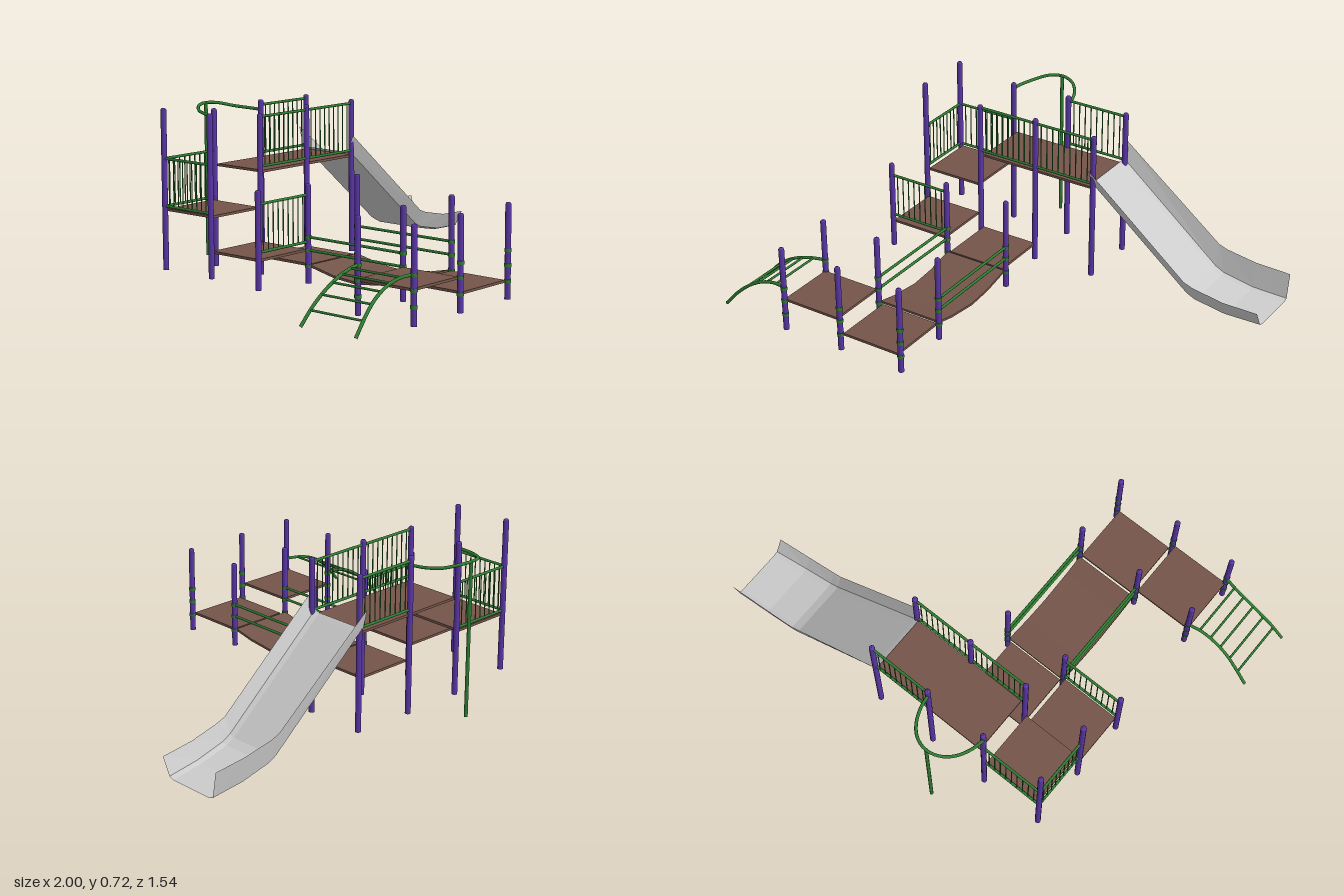
import * as THREE from 'three';

const mat = (color, opts = {}) => new THREE.MeshStandardMaterial({ color, ...opts });
const PURPLE = mat(0x5a36a6);
const GREEN = mat(0x2f7d32);
const BROWN = mat(0x74544a);
const GREY = mat(0xcccccc, { side: THREE.DoubleSide, flatShading: true });
const V = (x, y, z) => new THREE.Vector3(x, y, z);

function add(parent, name, geometry, material) {
  const mesh = new THREE.Mesh(geometry, material);
  mesh.name = name;
  parent.add(mesh);
  return mesh;
}

// Round bar between two points
function bar(parent, name, a, b, r, sides = 8) {
  const d = b.clone().sub(a);
  const mesh = add(parent, name, new THREE.CylinderGeometry(r, r, d.length(), sides), GREEN);
  mesh.position.copy(a).add(b).multiplyScalar(0.5);
  mesh.quaternion.setFromUnitVectors(V(0, 1, 0), d.normalize());
}

// Bent tube through a few points
function bent(parent, name, points, r) {
  add(parent, name, new THREE.TubeGeometry(new THREE.CatmullRomCurve3(points), 28, r, 8), GREEN);
}

// Post with a domed cap and optional clamp collars
function post(parent, x, z, bottom, top, collars = []) {
  const r = 0.0125;
  const profile = [[0, bottom], [r, bottom], [r, top - 0.008], [r * 0.7, top - 0.002], [0, top]]
    .map(([px, py]) => new THREE.Vector2(px, py));
  add(parent, 'post', new THREE.LatheGeometry(profile, 12), PURPLE).position.set(x, 0, z);
  for (const y of collars) {
    add(parent, 'postCollar', new THREE.CylinderGeometry(0.0145, 0.0145, 0.014, 12), GREEN).position.set(x, y, z);
  }
}

function deck(parent, x0, x1, z0, z1, y) {
  add(parent, 'deck', new THREE.BoxGeometry(x1 - x0, 0.011, z1 - z0), BROWN)
    .position.set((x0 + x1) / 2, y, (z0 + z1) / 2);
}

// Guard fence: two rails and evenly spaced thin bars
function fence(parent, x0, z0, x1, z1, low, high, n = 10) {
  const g = new THREE.Group();
  g.name = 'guardFence';
  parent.add(g);
  for (const y of [low, high]) bar(g, 'fenceRail', V(x0, y, z0), V(x1, y, z1), 0.006);
  for (let i = 1; i < n; i++) {
    const t = i / n, x = x0 + (x1 - x0) * t, z = z0 + (z1 - z0) * t;
    bar(g, 'fenceBar', V(x, low, z), V(x, high, z), 0.0025, 6);
  }
}

// Sagging bridge: extruded side profile
function bridge(parent) {
  const pts = [[-0.03, 0.083], [0.1, 0.055], [0.22, 0.045], [0.37, 0.062], [0.465, 0.083]];
  const shape = new THREE.Shape();
  pts.forEach(([z, y], i) => (i ? shape.lineTo(-z, y + 0.005) : shape.moveTo(-z, y + 0.005)));
  [...pts].reverse().forEach(([z, y]) => shape.lineTo(-z, y - 0.005));
  const geo = new THREE.ExtrudeGeometry(shape, { depth: 0.3, bevelEnabled: false });
  geo.rotateY(Math.PI / 2);
  geo.translate(-0.383, 0, 0);
  add(parent, 'bridgeDeck', geo, BROWN);
  for (const x of [-0.387, -0.077]) {
    for (const y of [0.15, 0.205]) bar(parent, 'bridgeRail', V(x, y, -0.035), V(x, y, 0.472), 0.006);
  }
}

// Slide: sheet through cross-sections [x, bed y, near wall y, far wall y, z shift]
function slide(parent) {
  const sections = [
    [0.18, 0.465, 0.54, 0.555, 0],
    [0.2, 0.45, 0.525, 0.54, 0],
    [0.66, 0.065, 0.14, 0.175, -0.006],
    [0.7, 0.045, 0.125, 0.16, -0.007],
    [0.84, 0.015, 0.095, 0.135, -0.014],
    [1.0, 0.005, 0.085, 0.125, -0.028],
  ];
  const pos = [], idx = [];
  for (const [x, bed, near, far, dz] of sections) {
    const flare = -dz * 0.35;
    pos.push(x, near, -0.285 + dz, x, bed + 0.008, -0.312 + dz - flare,
      x, bed, -0.335 + dz - flare, x, bed, -0.565 + dz + flare,
      x, bed + 0.008, -0.585 + dz + flare, x, far, -0.605 + dz * 0.6);
  }
  for (let i = 0; i < sections.length - 1; i++) {
    for (let j = 0; j < 5; j++) {
      const a = i * 6 + j, b = a + 6;
      idx.push(a, b, a + 1, b, b + 1, a + 1);
    }
  }
  const geo = new THREE.BufferGeometry();
  geo.setAttribute('position', new THREE.Float32BufferAttribute(pos, 3));
  geo.setIndex(idx);
  geo.computeVertexNormals();
  add(parent, 'slide', geo, GREY);
}

// Curved ladder down from the front left deck
function ladder(parent) {
  const side = [[-0.665, 0.205, 0], [-0.73, 0.2, 0.012], [-0.8, 0.18, 0.016],
    [-0.87, 0.142, 0.014], [-0.93, 0.092, 0.007], [-0.995, 0.02, 0]];
  bent(parent, 'ladderSide', side.map(([x, y, d]) => V(x, y, 0.477 + d)), 0.007);
  bent(parent, 'ladderSide', side.map(([x, y, d]) => V(x, y, 0.75 - d)), 0.007);
  for (const [x, y] of [[-0.72, 0.201], [-0.775, 0.188], [-0.83, 0.165], [-0.888, 0.128], [-0.945, 0.077]]) {
    bar(parent, 'ladderRung', V(x, y, 0.488), V(x, y, 0.739), 0.005);
  }
}

// Hoop and sliding pole behind the high deck
function firePole(parent) {
  const half = [[0.145, 0.662, -0.58], [0.135, 0.665, -0.635], [0.105, 0.672, -0.7], [0.06, 0.685, -0.745]];
  const points = [
    ...half.map(([x, y, z]) => V(-0.25 - x, y, z)),
    V(-0.25, 0.69, -0.763),
    ...half.reverse().map(([x, y, z]) => V(-0.25 + x, y, z)),
  ];
  bent(parent, 'poleHoop', points, 0.007);
  bar(parent, 'slidingPole', V(-0.25, 0.01, -0.763), V(-0.25, 0.692, -0.763), 0.008, 12);
}

export function createModel() {
  const model = new THREE.Group();
  model.name = 'playground';

  // Decks
  deck(model, -0.67, -0.4, -0.575, -0.308, 0.295);
  deck(model, -0.37, 0.19, -0.575, -0.308, 0.448);
  deck(model, -0.675, -0.4, -0.303, -0.04, 0.15);
  deck(model, -0.372, -0.1, -0.303, -0.038, 0.083);
  deck(model, -0.667, -0.392, 0.478, 0.75, 0.145);
  deck(model, -0.362, -0.085, 0.478, 0.75, 0.08);

  // Tall posts
  for (const z of [-0.575, -0.305]) {
    post(model, -0.682, z, 0.04, 0.725);
    post(model, -0.388, z, 0.01, 0.695);
    post(model, -0.1, z, 0.01, 0.705);
    post(model, 0.193, z, 0.02, 0.7);
  }

  // Low posts
  post(model, -0.682, -0.038, 0.03, 0.44);
  for (const x of [-0.387, -0.078]) {
    post(model, x, -0.036, 0.01, 0.43, [0.083, 0.15, 0.205]);
    post(model, x, 0.472, 0.01, 0.4, [0.083, 0.15, 0.205]);
  }
  for (const [x, z] of [[-0.665, 0.476], [-0.665, 0.755], [-0.377, 0.752], [-0.07, 0.752]]) {
    post(model, x, z, 0.005, 0.4, [0.08, 0.145, 0.205]);
  }

  // Fences
  fence(model, -0.682, -0.575, -0.682, -0.305, 0.312, 0.513);
  fence(model, -0.682, -0.575, -0.388, -0.575, 0.312, 0.513);
  fence(model, -0.682, -0.038, -0.387, -0.038, 0.185, 0.382);
  fence(model, -0.388, -0.305, -0.1, -0.305, 0.472, 0.682);
  fence(model, -0.1, -0.305, 0.193, -0.305, 0.472, 0.682);
  fence(model, -0.1, -0.575, 0.193, -0.575, 0.472, 0.682);

  bridge(model);
  slide(model);
  ladder(model);
  firePole(model);
  return model;
}
